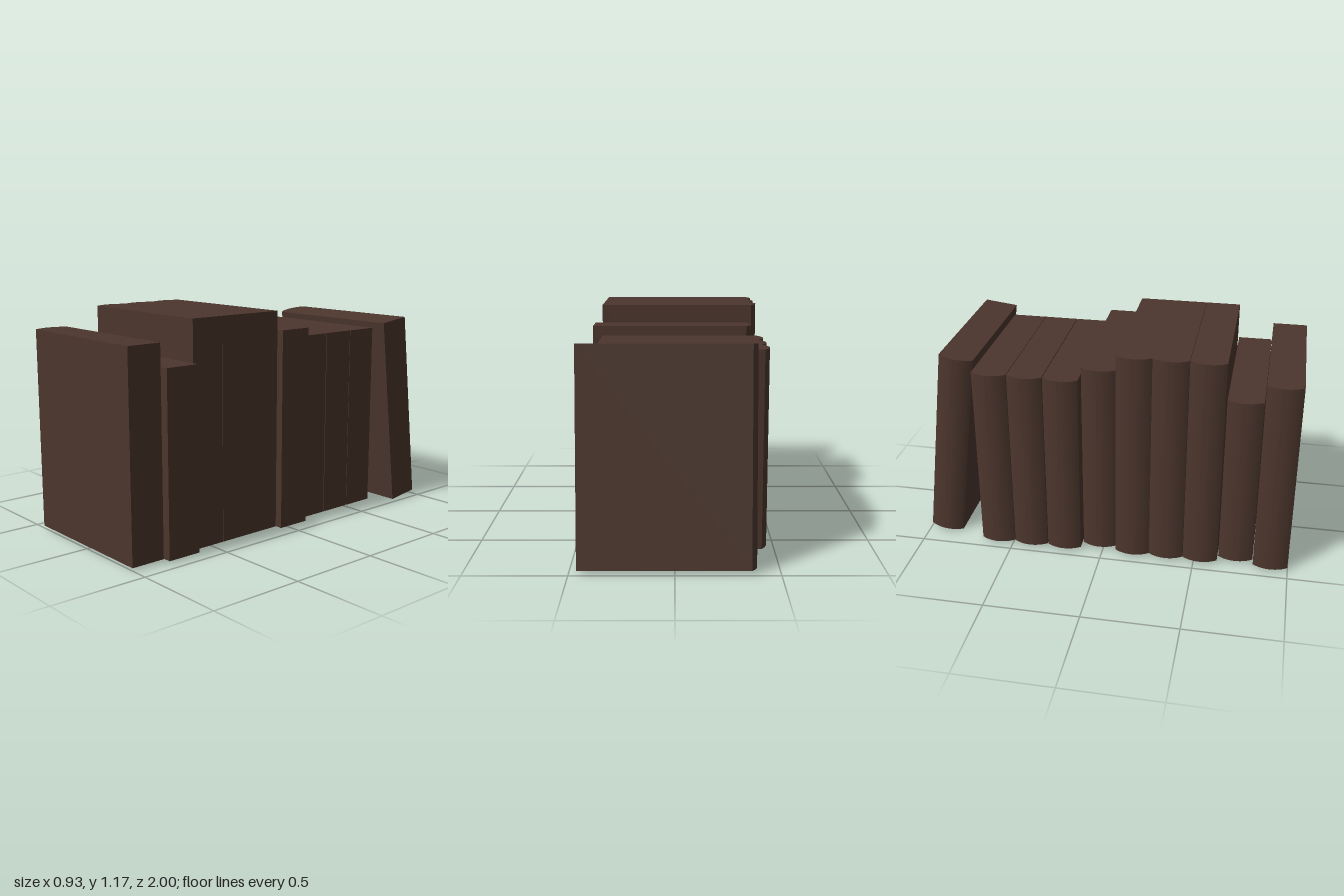
import * as THREE from 'three';
import { toCreasedNormals } from 'three/addons/utils/BufferGeometryUtils.js';

const THICK = 0.183, LENGTH = 0.853, BULGE = 0.03;

// Book seen from above: straight sides, square fore edge at +x, rounded spine at -x
function bookGeometry(height) {
  const h = THICK / 2, front = LENGTH / 2, corner = -LENGTH / 2 + BULGE;
  const radius = (h * h + BULGE * BULGE) / (2 * BULGE);
  const half = Math.asin(h / radius);
  const shape = new THREE.Shape();
  shape.moveTo(corner, -h);
  shape.lineTo(front, -h);
  shape.lineTo(front, h);
  shape.lineTo(corner, h);
  shape.absarc(-LENGTH / 2 + radius, 0, radius, Math.PI - half, Math.PI + half, false);
  const geo = new THREE.ExtrudeGeometry(shape, { depth: height, bevelEnabled: false, curveSegments: 10 });
  geo.translate(0, 0, -height / 2);
  geo.rotateX(-Math.PI / 2);
  return toCreasedNormals(geo, 0.35);
}

export function createModel() {
  const group = new THREE.Group();
  group.name = 'bookRow';
  const brown = new THREE.MeshStandardMaterial({ color: 0x4c362d });
  brown.name = 'dark brown';

  function addBook(name, x, y, z, height) {
    const book = new THREE.Mesh(bookGeometry(height), brown);
    book.name = name;
    book.position.set(x, y, z);
    group.add(book);
    return book;
  }

  // Upright books: centre x, centre z, top height
  const base = 0.015;
  const upright = [
    [-0.027, 0.908, 1.07],
    [0.015, 0.721, 0.955],
    [-0.027, 0.533, 1.167],
    [-0.027, 0.348, 1.167],
    [-0.027, 0.165, 1.167],
    [0.012, -0.02, 1.07],
    [-0.038, -0.21, 1.02],
    [-0.038, -0.397, 1.02],
    [-0.038, -0.583, 1.02],
  ];
  upright.forEach(([x, z, top], i) =>
    addBook(`uprightBook${i + 1}`, x, (base + top) / 2, z, top - base));

  // Last book leans towards the row
  addBook('leaningBook', 0.035, 0.5375, -0.841, 1.058).rotation.x = 0.123;

  return group;
}
